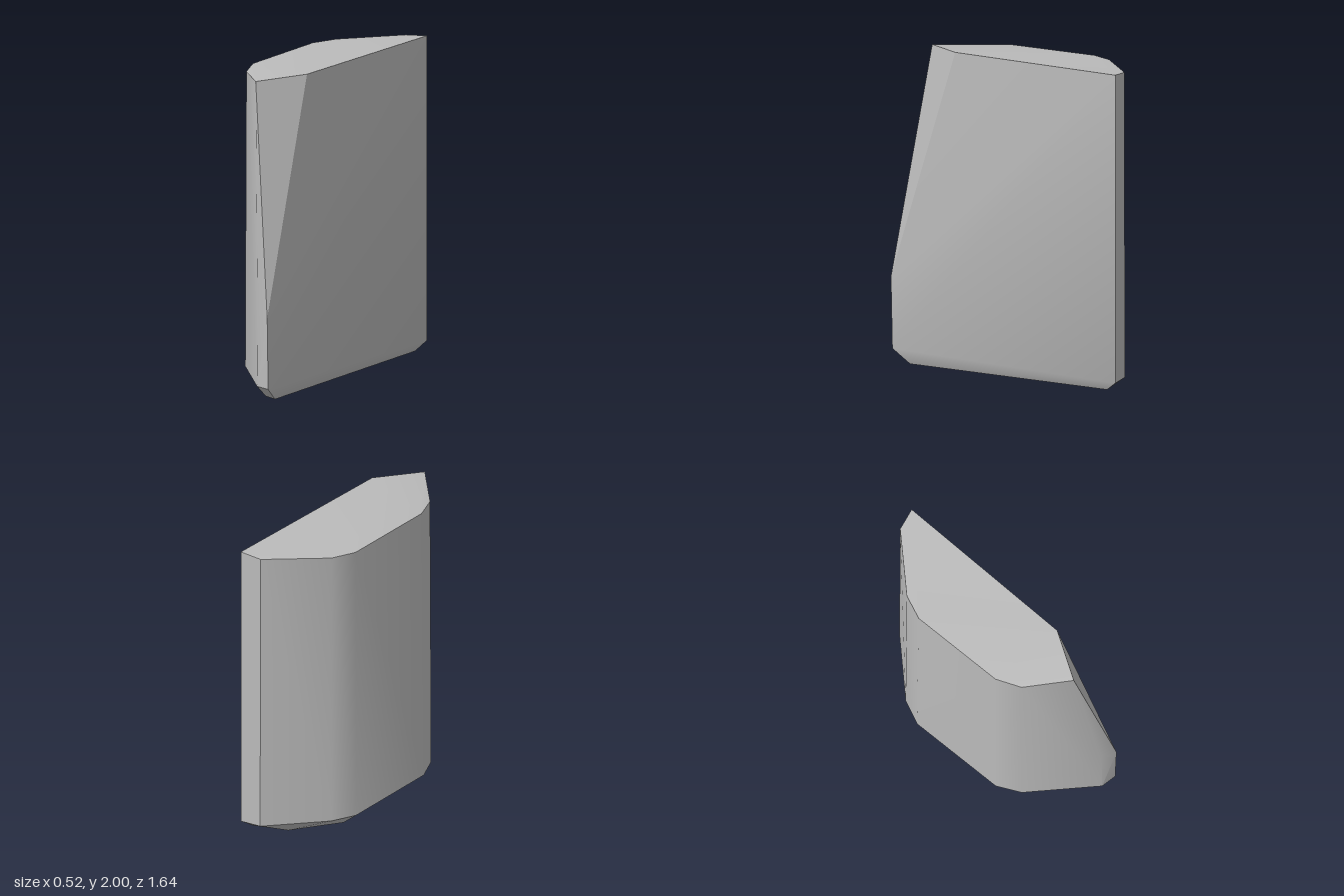
import * as THREE from 'three';
import { ConvexGeometry } from 'three/addons/geometries/ConvexGeometry.js';
import { toCreasedNormals } from 'three/addons/utils/BufferGeometryUtils.js';

export function createModel() {
  const model = new THREE.Group();
  const stone = new THREE.MeshStandardMaterial({ color: 0xbbbbbb });
  stone.name = 'light grey stone';

  // Inset foot under the bevel, tilted slightly
  const foot = [
    [0.23, 0.01, 0.70], [0.13, 0.006, 0.66], [0.02, 0.004, 0.53], [-0.15, 0, 0.20],
    [-0.15, 0, -0.33], [0.04, 0.005, -0.63], [0.23, 0.015, -0.74],
  ];
  // Full outline just above the foot
  const base = [
    [0.26, 0.10, 0.81], [0.16, 0.10, 0.79], [-0.19, 0.10, 0.44], [-0.26, 0.10, 0.29],
    [-0.26, 0.10, -0.34], [-0.19, 0.10, -0.49], [0.12, 0.08, -0.80], [0.26, 0.07, -0.82],
  ];
  // Lower tip of the sloping cut on the front corner
  const cutTip = [[0.26, 0.55, 0.82], [0.16, 0.60, 0.785]];
  // Gently sloping top, with the front corner cut away
  const top = [
    [0.23, 2.0, 0.37], [0.05, 1.985, 0.655], [-0.185, 1.966, 0.435], [-0.25, 1.975, 0.28],
    [-0.25, 1.978, -0.335], [-0.185, 1.98, -0.485], [0.12, 1.99, -0.795], [0.26, 2.0, -0.82],
  ];

  const points = [...foot, ...base, ...cutTip, ...top].map((p) => new THREE.Vector3(...p));
  const geometry = toCreasedNormals(new ConvexGeometry(points), THREE.MathUtils.degToRad(30));
  const slab = new THREE.Mesh(geometry, stone);
  slab.name = 'stoneSlab';
  model.add(slab);
  return model;
}
